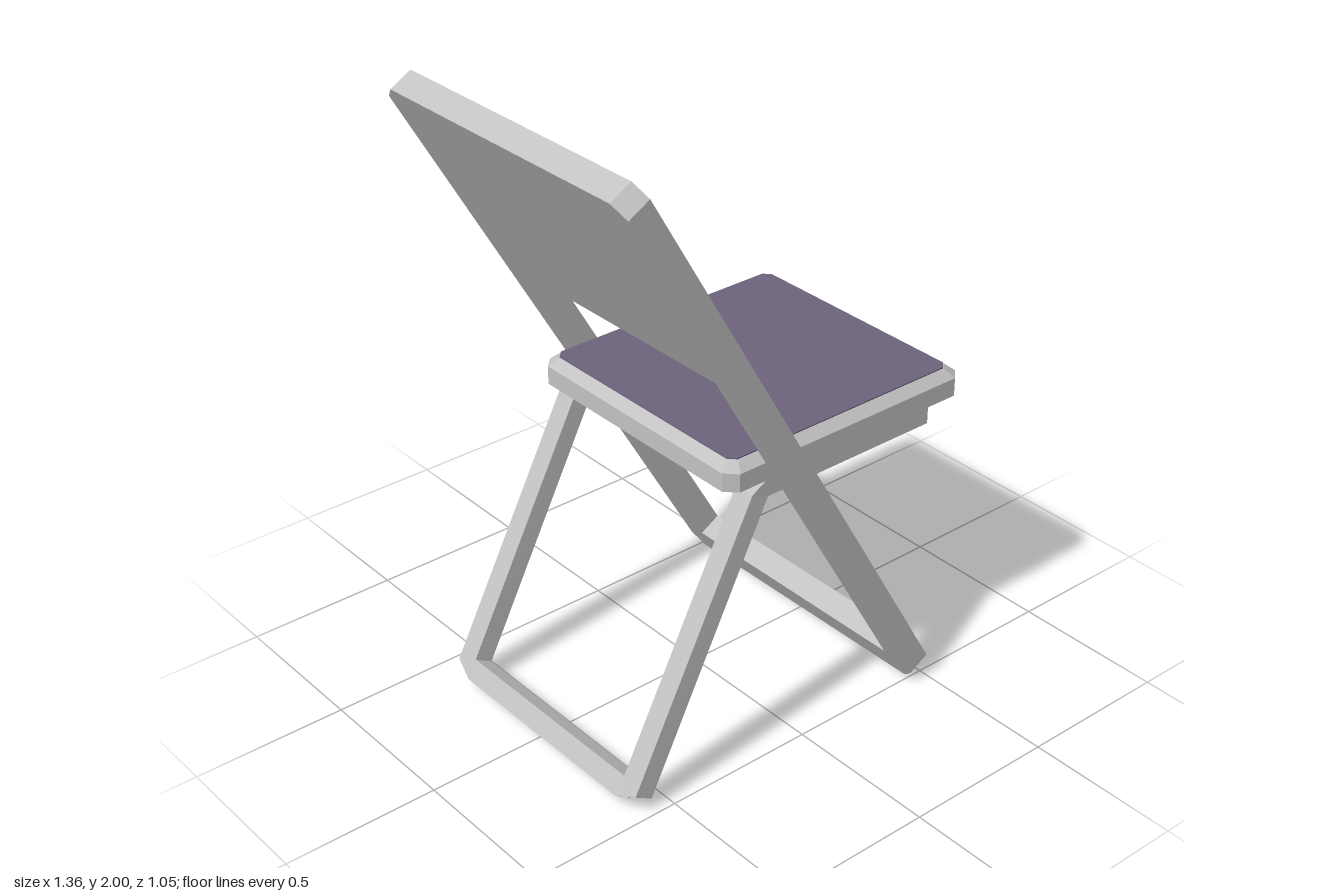
import * as THREE from 'three';

const grey = new THREE.MeshStandardMaterial({ color: 0xc2c2c2 });
grey.name = 'grey frame';
const purple = new THREE.MeshStandardMaterial({ color: 0x6d637d });
purple.name = 'purple upholstery';

function add(parent, name, geometry, material) {
  const mesh = new THREE.Mesh(geometry, material);
  mesh.name = name;
  parent.add(mesh);
  return mesh;
}

// Rectangle with cut corners, counter-clockwise
function cutRect(x0, x1, y0, y1, c) {
  return [[x0 + c, y0], [x1 - c, y0], [x1, y0 + c], [x1, y1 - c],
    [x1 - c, y1], [x0 + c, y1], [x0, y1 - c], [x0, y0 + c]];
}

const toShape = (pts) => new THREE.Shape(pts.map((p) => new THREE.Vector2(...p)));

function slab(pts, depth, hole) {
  const shape = toShape(pts);
  if (hole) shape.holes.push(toShape(hole));
  return new THREE.ExtrudeGeometry(shape, { depth, bevelEnabled: false });
}

// Flat-faced solid through outlines stacked along z: levels are [z, points]
function loft(levels) {
  const pos = [];
  const tri = (...v) => v.forEach((p) => pos.push(...p));
  const rings = levels.map(([z, pts]) => pts.map(([x, y]) => [x, y, z]));
  const n = rings[0].length, top = rings[rings.length - 1];
  for (let k = 0; k < rings.length - 1; k++) {
    for (let i = 0; i < n; i++) {
      const j = (i + 1) % n, a = rings[k], b = rings[k + 1];
      tri(a[i], a[j], b[j]);
      tri(a[i], b[j], b[i]);
    }
  }
  for (let i = 1; i < n - 1; i++) {
    tri(rings[0][0], rings[0][i + 1], rings[0][i]);
    tri(top[0], top[i], top[i + 1]);
  }
  const g = new THREE.BufferGeometry();
  g.setAttribute('position', new THREE.Float32BufferAttribute(pos, 3));
  g.computeVertexNormals();
  return g;
}

// The rear legs lean slightly to one side below the seat
function lean(geometry) {
  const g = geometry.index ? geometry.toNonIndexed() : geometry;
  const p = g.attributes.position;
  for (let i = 0; i < p.count; i++) {
    p.setZ(i, p.getZ(i) + 0.048 * Math.max(0, 0.86 - p.getY(i)));
  }
  g.computeVertexNormals();
  return g;
}

// Side rail running under the seat and bending down into a rear leg
function sideRail(side) {
  const w = 0.07;
  const g = slab([[0.57, 0.92], [-0.1, 0.92], [-0.16, 0.885], [-0.642, 0.043],
    [-0.585, 0.01], [-0.1, 0.86], [0.57, 0.86]], w);
  const p = g.attributes.position;
  for (let i = 0; i < p.count; i++) {
    // cut the outer corners at both ends
    const outer = (p.getZ(i) > w / 2) === (side > 0);
    if (outer && p.getX(i) > 0.5) p.setX(i, p.getX(i) - 0.035);
    if (outer && p.getY(i) < 0.1) {
      p.setX(i, p.getX(i) + 0.0175);
      p.setY(i, p.getY(i) + 0.03);
    }
  }
  g.translate(0, 0, side > 0 ? 0.368 : -0.438);
  return lean(g);
}

export function createModel() {
  const model = new THREE.Group();
  model.name = 'foldingChair';

  // Tilted frame: front legs, bottom bar and backrest panel in one slab
  const back = new THREE.Group();
  back.name = 'backFrame';
  back.position.set(0.485, 0.02, 0);
  back.rotation.z = Math.PI / 6;
  model.add(back);
  const frame = slab(cutRect(-0.527, 0.527, 0, 2.263, 0.045), 0.08,
    [[-0.44, 0.104], [-0.44, 1.5], [0.44, 1.5], [0.44, 0.104]]);
  frame.translate(0, 0, -0.04).rotateY(Math.PI / 2);
  add(back, 'frontLegsAndBackrest', frame, grey);

  // Backrest cushion with wide sloping edges
  const cushion = loft([
    [0.036, cutRect(-0.405, 0.405, 1.536, 2.229, 0.004)],
    [0.042, cutRect(-0.405, 0.405, 1.536, 2.229, 0.004)],
    [0.073, cutRect(-0.312, 0.312, 1.632, 2.14, 0.004)],
  ]);
  add(back, 'backCushion', cushion.rotateY(Math.PI / 2), purple);

  // Seat board with bevelled rim, and the upholstered top
  const seat = new THREE.Group();
  seat.name = 'seat';
  model.add(seat);
  const board = loft([
    [0.915, cutRect(-0.243, 0.68, -0.439, 0.439, 0.036)],
    [0.975, cutRect(-0.243, 0.68, -0.439, 0.439, 0.036)],
    [1.002, cutRect(-0.213, 0.648, -0.409, 0.409, 0.024)],
  ]);
  add(seat, 'seatBoard', board.rotateX(-Math.PI / 2), grey);
  const top = loft([
    [1.0, cutRect(-0.211, 0.645, -0.407, 0.407, 0.022)],
    [1.006, cutRect(-0.211, 0.645, -0.407, 0.407, 0.022)],
  ]);
  add(seat, 'seatCushion', top.rotateX(-Math.PI / 2), purple);

  // Rear leg loop
  const legs = new THREE.Group();
  legs.name = 'rearLegs';
  model.add(legs);
  for (const side of [1, -1]) {
    add(legs, side > 0 ? 'leftRailAndLeg' : 'rightRailAndLeg', sideRail(side), grey);
  }
  for (const [name, x] of [['frontRail', 0.535], ['backRail', -0.065]]) {
    add(legs, name, new THREE.BoxGeometry(0.07, 0.06, 0.736), grey).position.set(x, 0.89, 0);
  }
  const bar = new THREE.BoxGeometry(0.066, 0.066, 0.736);
  bar.rotateZ(-Math.PI / 6).translate(-0.597, 0.055, 0);
  add(legs, 'rearFootBar', lean(bar), grey);

  return model;
}
